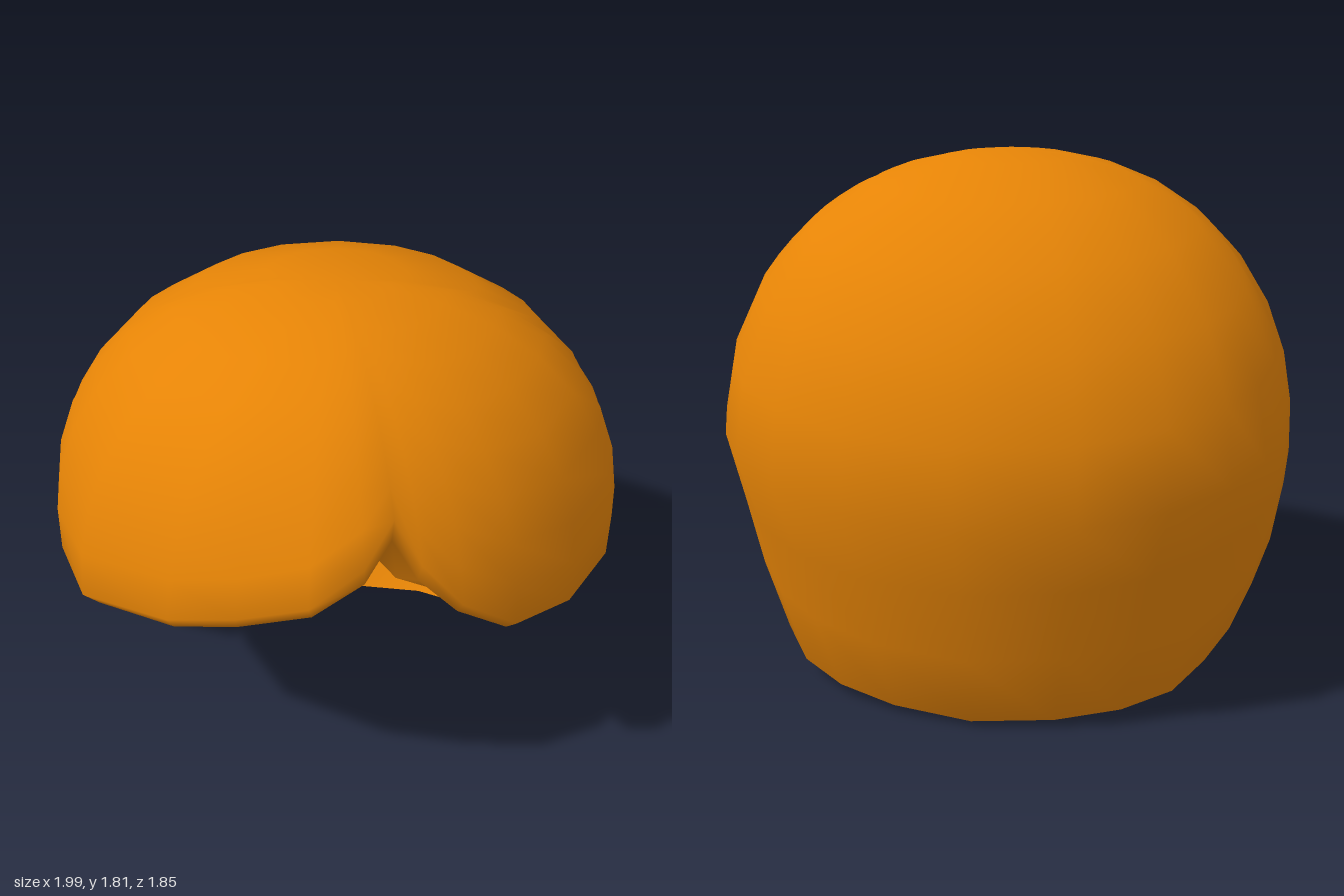
import * as THREE from 'three';
import { mergeVertices } from 'three/addons/utils/BufferGeometryUtils.js';

const V = (x, y, z) => new THREE.Vector3(x, y, z);
const CENTRE = V(0, 0.82, 0);
const UP = V(0, 1, 0);

// Rim stations: [outer x, y, z, inner x, y, z]
const fringeLeft = [
  [0.185, 1.41, 0.76, 0.14, 1.16, 0.64],
  [0.27, 1.27, 0.80, 0.20, 1.09, 0.65],
  [0.40, 1.11, 0.79, 0.32, 1.02, 0.62],
  [0.58, 0.96, 0.71, 0.45, 0.91, 0.55],
  [0.78, 0.87, 0.50, 0.58, 0.82, 0.42],
  [0.95, 0.82, 0.20, 0.69, 0.77, 0.20],
];
// From the temple down the sideburn to the nape
const side = [
  [0.995, 0.79, 0.01, 0.71, 0.74, 0.02],
  [0.98, 0.70, -0.08, 0.71, 0.66, -0.05],
  [0.945, 0.50, -0.11, 0.68, 0.50, -0.06],
  [0.89, 0.34, -0.14, 0.65, 0.35, -0.06],
  [0.82, 0.20, -0.22, 0.60, 0.23, -0.10],
  [0.74, 0.13, -0.34, 0.55, 0.17, -0.20],
  [0.64, 0.07, -0.46, 0.48, 0.12, -0.30],
  [0.48, 0.045, -0.57, 0.34, 0.10, -0.38],
  [0.27, 0.03, -0.65, 0.18, 0.08, -0.42],
];
const nape = [[0, 0.02, -0.69, 0, 0.08, -0.44]];
const fringeRight = [
  [-0.955, 0.83, 0.22, -0.69, 0.75, 0.20],
  [-0.82, 0.89, 0.53, -0.60, 0.80, 0.42],
  [-0.50, 1.03, 0.79, -0.43, 0.88, 0.57],
  [-0.28, 1.11, 0.87, -0.28, 0.95, 0.64],
  [-0.06, 1.20, 0.92, -0.02, 1.05, 0.67],
  [0.10, 1.31, 0.87, 0.10, 1.10, 0.66],
];
const mirrored = side.map(([a, b, c, d, e, f]) => [-a, b, c, -d, e, f]).reverse();
const stations = [...fringeLeft, ...side, ...nape, ...mirrored, ...fringeRight];

// Distance from the centre to a head shape: oval in plan, slightly squared in height
function headRadius(d) {
  const p = 2.2;
  const plan = Math.hypot(d.x, d.z / 0.925);
  return (plan ** p + Math.abs(d.y / 0.99) ** p) ** (-1 / p);
}

// Points from the crown down over the head shape, ending exactly at a rim point
function strand(end, crownScale, rows, pinch) {
  const offset = end.clone().sub(CENTRE);
  const dir = offset.clone().normalize();
  const axis = UP.clone().cross(dir).normalize();
  const angle = UP.angleTo(dir);
  const endScale = offset.length() / headRadius(dir);
  const points = [];
  for (let r = 0; r <= rows; r++) {
    const t = r / rows;
    const d = UP.clone().applyAxisAngle(axis, angle * t);
    let scale = THREE.MathUtils.lerp(crownScale, endScale, t ** 3);
    // Hollow of the neck, at the back below the middle
    if (d.y < 0 && d.z < 0) scale -= pinch * Math.min(1, -2 * d.z) * Math.sin(Math.PI * d.y / dir.y);
    const lean = 0.07 * Math.max(0, d.y) ** 2 * (1 - t ** 3);
    const p = d.multiplyScalar(headRadius(d) * scale).add(CENTRE);
    p.z += lean;
    points.push(p);
  }
  return points;
}

// Closed ring of columns joined into one smooth surface
function skin(columns) {
  const n = columns.length, rows = columns[0].length;
  const position = [], index = [];
  columns.forEach((col) => col.forEach((p) => position.push(p.x, p.y, p.z)));
  for (let i = 0; i < n; i++) {
    const j = (i + 1) % n;
    for (let r = 0; r < rows - 1; r++) {
      const a = i * rows + r, d = j * rows + r;
      index.push(a, a + 1, d + 1, a, d + 1, d);
    }
  }
  let g = new THREE.BufferGeometry();
  g.setAttribute('position', new THREE.Float32BufferAttribute(position, 3));
  g.setIndex(index);
  g = mergeVertices(g, 1e-4);
  g.computeVertexNormals();
  return g;
}

export function createModel() {
  const group = new THREE.Group();
  group.name = 'hair';
  const hairOrange = new THREE.MeshStandardMaterial({ color: 0xe68406, side: THREE.DoubleSide });
  hairOrange.name = 'hairOrange';

  const outer = [], inner = [];
  for (const [ox, oy, oz, ix, iy, iz] of stations) {
    const o = V(ox, oy, oz), i = V(ix, iy, iz);
    const down = strand(o, 1, 9, 0.08);
    // Rounded lip between the outer edge and the inner edge
    const push = o.clone().sub(down[8]).normalize().multiplyScalar(0.035);
    const lip = o.clone().lerp(i, 0.22).add(push);
    lip.y = Math.max(lip.y, 0);
    outer.push([...down, lip, i]);
    inner.push(strand(i, 0.72, 8, 0).reverse());
  }

  const shell = new THREE.Mesh(skin(outer), hairOrange);
  shell.name = 'outerHair';
  const lining = new THREE.Mesh(skin(inner), hairOrange);
  lining.name = 'innerLining';
  group.add(shell, lining);
  return group;
}
